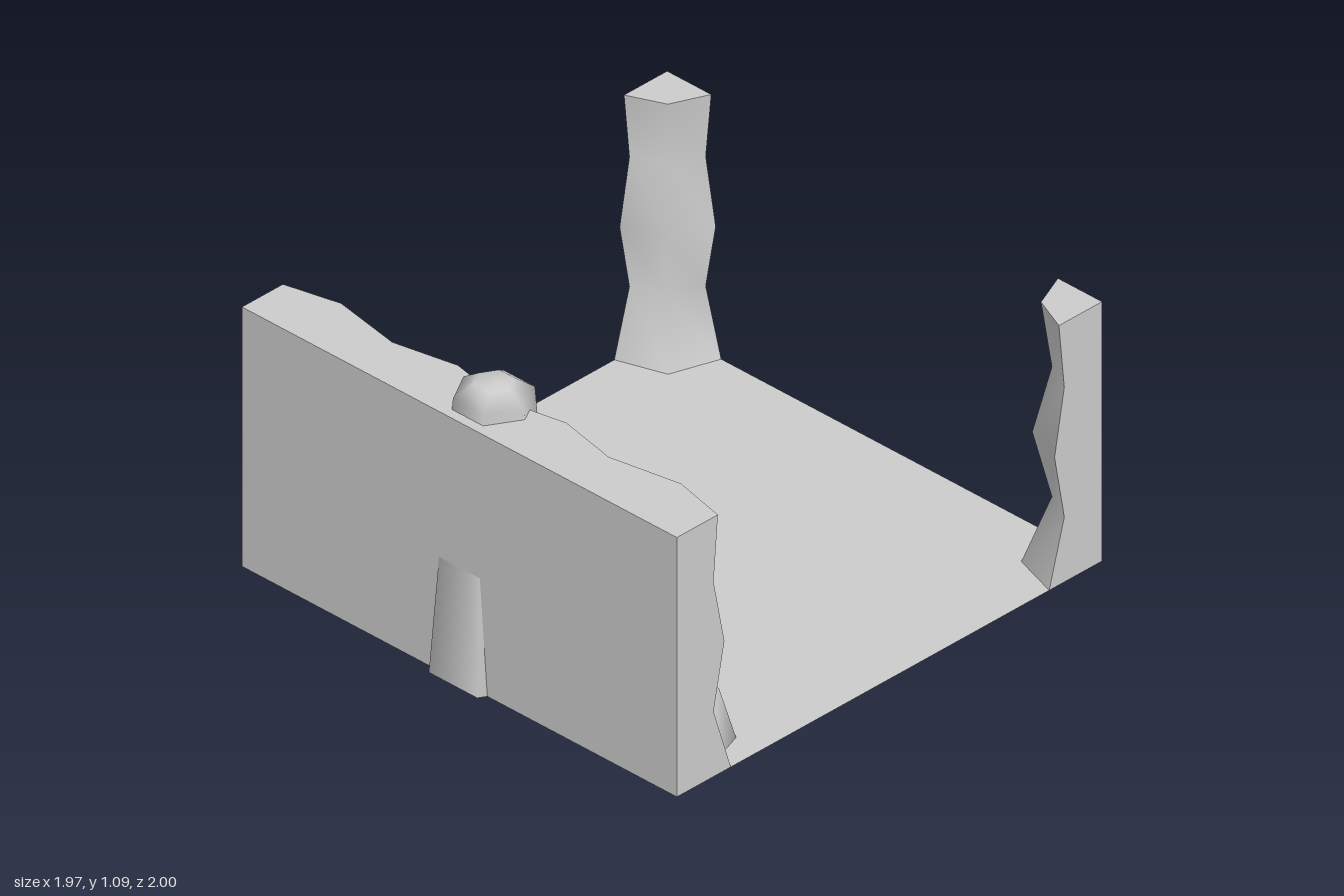
import * as THREE from 'three';

const X = 0.985, BACK = -1, FRONT = 0.97;
const LEVELS = [0, 0.25, 0.5, 0.75, 1];
const material = new THREE.MeshStandardMaterial({ color: 0xcccccc });
const thin = new THREE.MeshStandardMaterial({ color: 0xcccccc, side: THREE.DoubleSide });

function part(name, geometry, parent, mat = material) {
  const mesh = new THREE.Mesh(geometry, mat);
  mesh.name = name;
  parent.add(mesh);
  return mesh;
}

// Smooth sheet through rows of [x, y, z]; it faces (along row) x (row to row)
function sheet(rows) {
  const n = rows[0].length, index = [];
  for (let r = 0; r < rows.length - 1; r++) {
    for (let c = 0; c < n - 1; c++) {
      const a = r * n + c, b = a + n;
      index.push(a, a + 1, b + 1, a, b + 1, b);
    }
  }
  const g = new THREE.BufferGeometry();
  g.setAttribute('position', new THREE.Float32BufferAttribute(rows.flat(2), 3));
  g.setIndex(index);
  g.computeVertexNormals();
  return g;
}

// Rock wall: rippled inside, flat outside
function addWall(parent) {
  const wall = new THREE.Group();
  wall.name = 'rockWall';
  parent.add(wall);
  const xs = [-X, -0.77, -0.49, -0.24, 0, 0.25, 0.49, 0.77, X];
  const depth = [0.72, 0.8, 0.75, 0.8, 0.78];
  const inner = LEVELS.map((y, r) => xs.map((x, c) => [x, y, depth[r] - (c % 2) * 0.05]));
  const outer = LEVELS.map((y) => xs.map((x) => [x, y, FRONT]));
  const column = (rows, c) => rows.map((row) => row[c]);
  const last = xs.length - 1;
  part('wallInside', sheet(inner.map((row) => [...row].reverse())), wall);
  part('wallOutside', sheet(outer), wall);
  part('wallTop', sheet([outer[4], inner[4]]), wall);
  part('wallLeftEnd', sheet([column(inner, last), column(outer, last)]), wall);
  part('wallRightEnd', sheet([column(outer, 0), column(inner, 0)]), wall);
}

// Corner post: two flat outer sides and a wavy inner face
function addPost(parent, name, side) {
  const post = new THREE.Group();
  post.name = name;
  post.scale.x = side;
  parent.add(post);
  const widths = [0.245, 0.175, 0.22, 0.175, 0.2];
  const rows = LEVELS.map((y, i) => {
    const w = widths[i];
    return [[X - w, y, BACK], [X - w + 0.06, y, BACK + w - 0.06], [X, y, BACK + w]];
  });
  const corner = LEVELS.map((y) => [X, y, BACK]);
  const top = rows[4];
  part('postInside', sheet(rows), post);
  part('postSide', sheet([corner, rows.map((r) => r[2])]), post);
  part('postRear', sheet([rows.map((r) => r[0]), corner]), post);
  part('postTop', sheet([[top[0], top[1]], [corner[4], top[2]]]), post);
}

// Stone: a block narrowed and pushed toward the wall at its top, smooth shaded
function addStone(parent, name, x, z, w, h, d, turn, taper, lean) {
  const hw = w / 2, hd = d / 2, tw = hw * taper, td = hd * taper;
  const ring = (a, b, y) => [[-a, y, b], [a, y, b], [a, y, -b], [-a, y, -b]];
  const pts = [...ring(hw, hd, 0), ...ring(tw, td, h)];
  const index = [4, 5, 6, 4, 6, 7];
  for (let i = 0; i < 4; i++) {
    const j = (i + 1) % 4;
    index.push(i, j, j + 4, i, j + 4, i + 4);
  }
  const g = new THREE.BufferGeometry();
  g.setAttribute('position', new THREE.Float32BufferAttribute(pts.flat(), 3));
  g.setIndex(index);
  g.rotateY(turn);
  const p = g.attributes.position;
  for (let i = 4; i < 8; i++) p.setZ(i, p.getZ(i) + lean);
  g.computeVertexNormals();
  part(name, g, parent).position.set(x, 0, z);
}

export function createModel() {
  const model = new THREE.Group();
  model.name = 'rockRoom';

  // Floor
  const floor = new THREE.PlaneGeometry(2 * X, FRONT - BACK);
  floor.rotateX(-Math.PI / 2);
  part('floor', floor, model, thin).position.z = (FRONT + BACK) / 2;

  addWall(model);
  addPost(model, 'leftCornerPost', 1);
  addPost(model, 'rightCornerPost', -1);

  // Six-sided tapering pillar with a domed cap, through the wall
  const profile = [[0.219, 0], [0.138, 1.04], [0.07, 1.085], [0, 1.09]];
  const pillar = new THREE.LatheGeometry(
    profile.map(([r, y]) => new THREE.Vector2(r, y)), 6, Math.PI / 2);
  part('pillar', pillar, model).position.z = 0.81;

  // Boulders leaning on the wall: x, z, height
  const boulders = [[-0.67, 0.685, 0.2], [-0.24, 0.7, 0.21], [0.34, 0.69, 0.07], [0.805, 0.69, 0.21]];
  for (const [x, z, h] of boulders) {
    addStone(model, 'boulder', x, z, 0.2, h, 0.16, 0.33, 0.72, 0.03);
  }

  // Pebbles on the floor: x, z, size, height, turn
  const pebbles = [
    [-0.92, 0.58, 0.1, 0.024, -0.25], [-0.8, 0.59, 0.05, 0.015, 0.2],
    [-0.42, 0.585, 0.1, 0.024, -0.2], [-0.29, 0.6, 0.05, 0.015, -0.2],
    [0.18, 0.555, 0.1, 0.01, 0.15], [0.305, 0.54, 0.05, 0.02, 0],
    [0.555, 0.58, 0.1, 0.024, -0.2], [0.68, 0.585, 0.05, 0.015, 0.2],
  ];
  for (const [x, z, s, h, turn] of pebbles) {
    addStone(model, 'pebble', x, z, s, h, s, turn, 0.8, 0);
  }
  return model;
}
